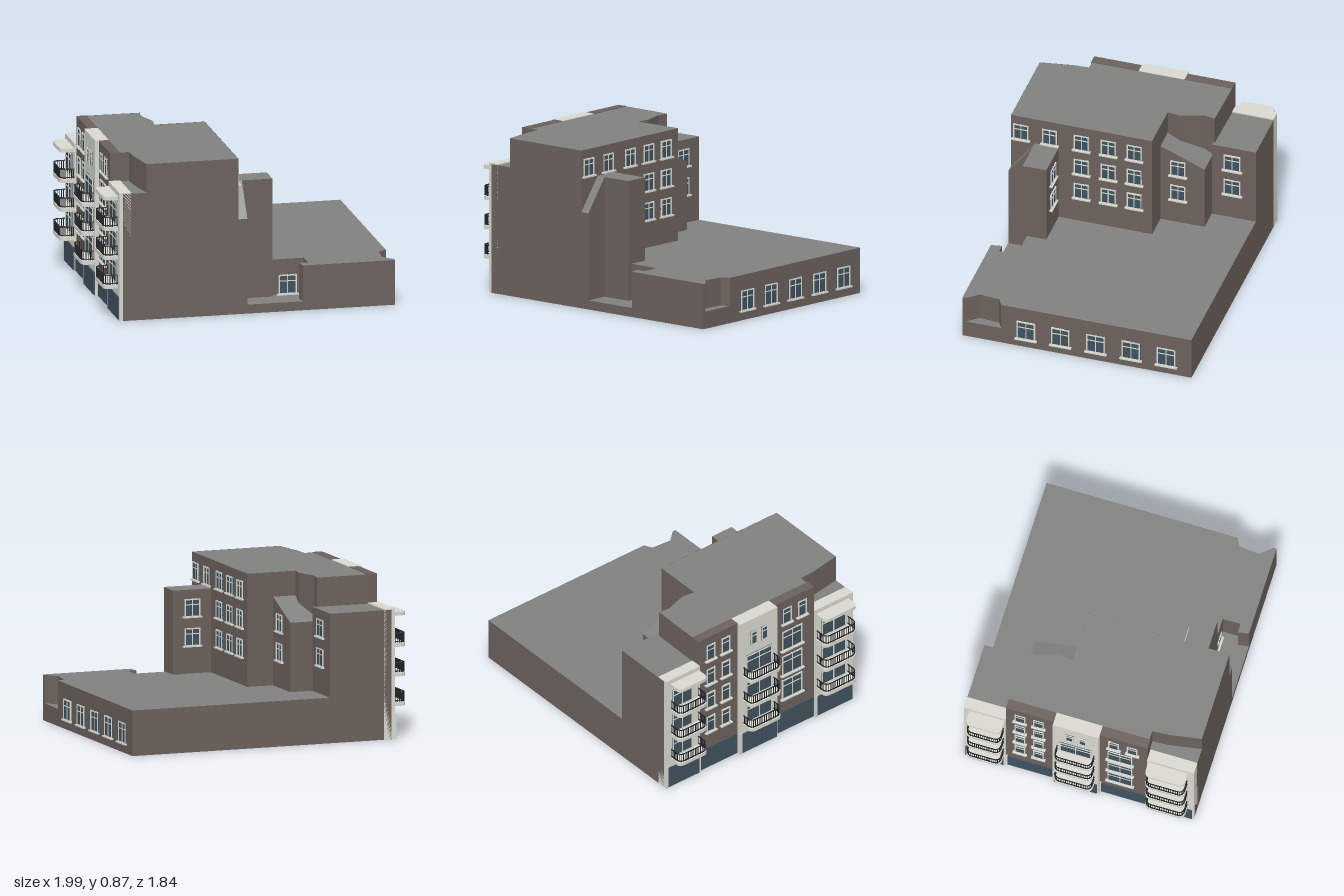
import * as THREE from 'three';

const mat = (name, color, side = THREE.FrontSide) => {
  const m = new THREE.MeshStandardMaterial({ color, side });
  m.name = name;
  return m;
};

export function createModel() {
  const brown = mat('brownRender', 0x6c625d, THREE.DoubleSide);
  const grey = mat('greyRoof', 0x81817f, THREE.DoubleSide);
  const white = mat('whiteTrim', 0xdadad2);
  const glass = mat('darkGlass', 0x40525e);
  const metal = mat('blackMetal', 0x222426);

  // Local plan: x runs back from the street facade, z runs along it.
  const building = new THREE.Group();
  building.name = 'building';
  building.position.set(-0.935, 0, -0.26);
  building.rotation.y = 0.45;

  const add = (parent, name, geo, m, x = 0, y = 0, z = 0) => {
    const mesh = new THREE.Mesh(geo, m);
    mesh.name = name;
    mesh.position.set(x, y, z);
    parent.add(mesh);
    return mesh;
  };
  const box = (parent, name, m, w, h, d, x, y, z) =>
    add(parent, name, new THREE.BoxGeometry(w, h, d), m, x, y, z);

  // Upright walls along a plan line; a point may carry its own top height.
  const walls = (name, y0, y1, pts) => {
    const pos = [];
    for (let i = 0; i + 1 < pts.length; i++) {
      const [ax, az, at = y1] = pts[i], [bx, bz, bt = y1] = pts[i + 1];
      pos.push(ax, y0, az, ax, at, az, bx, bt, bz, ax, y0, az, bx, bt, bz, bx, y0, bz);
    }
    const g = new THREE.BufferGeometry();
    g.setAttribute('position', new THREE.Float32BufferAttribute(pos, 3));
    g.computeVertexNormals();
    add(building, name, g, brown);
  };
  // Roof or floor slab over a plan outline, optionally sloping along z.
  const lid = (name, y, pts, slope = 0, z0 = 0) => {
    const shape = new THREE.Shape(pts.map(([x, z]) => new THREE.Vector2(x, -z)));
    const g = new THREE.ShapeGeometry(shape).rotateX(-Math.PI / 2);
    const p = g.attributes.position;
    for (let i = 0; i < p.count; i++) p.setY(i, y + slope * (p.getZ(i) - z0));
    g.computeVertexNormals();
    add(building, name, g, grey);
  };

  // Low rear wing with its two notches
  const yard = [[0.69, 1.3], [0.69, 1.165], [0.86, 1.165], [0.86, 1.14], [1.04, 1.14],
    [1.04, 1.24], [0.99, 1.24], [1, 1.3]];
  const nook = [[1.51, 1.28], [1.455, 1.22], [1.465, 1.105], [1.51, 1.08]];
  walls('sideBaseWall', 0, 0.25, [[0, 1.3], [0.69, 1.3]]);
  walls('yardWalls', 0.05, 0.25, yard);
  walls('yardKerb', 0, 0.05, [[0.69, 1.3], [1, 1.3]]);
  lid('yardFloor', 0.05, yard);
  walls('wingSideWall', 0, 0.25, [[1, 1.3], [1.51, 1.3], [1.51, 1.28]]);
  walls('nookWalls', 0.095, 0.25, nook);
  walls('nookKerb', 0, 0.095, [nook[0], nook[3]]);
  lid('nookFloor', 0.095, nook);
  walls('wingRearWall', 0, 0.25, [[1.51, 1.08], [1.51, 0], [0, 0]]);
  lid('wingRoof', 0.25, [[0.36, 0], [1.51, 0], ...[...nook].reverse(), [1.51, 1.3],
    ...[...yard].reverse().slice(0, 5), [0.86, 1.03], [0.64, 1.03], [0.64, 0.5],
    [0.49, 0.5], [0.49, 0.25], [0.36, 0.25]]);

  // Corner blocks beside the tower
  walls('northBlockWalls', 0.25, 0.71, [[0, 0], [0.36, 0], [0.36, 0.25]]);
  lid('northBlockRoof', 0.71, [[0.04, 0], [0.36, 0], [0.36, 0.25], [0.04, 0.25]]);
  walls('southBlockWall', 0.25, 0.71, [[0, 1.3], [0.14, 1.3]]);
  lid('southBlockRoof', 0.71, [[0.04, 1.03], [0.14, 1.03], [0.14, 1.3], [0.04, 1.3]]);

  // Block with a sloping roof in the rear corner
  walls('slopedBlockWalls', 0.25, 0.63, [[0.34, 0.25], [0.49, 0.25], [0.49, 0.5, 0.735]]);
  lid('slopedBlockRoof', 0.63, [[0.33, 0.25], [0.49, 0.25], [0.49, 0.5], [0.33, 0.5]], 0.42, 0.25);

  // Tall main tower
  const north = [[0.34, 0.24], [0.33, 0.3], [0.37, 0.43], [0.36, 0.5], [0.49, 0.5]];
  const south = [[0.13, 1.3], [0.1, 1.12], [0.095, 1.03]];
  walls('towerRearWall', 0.25, 0.87, [[0.49, 0.5], [0.64, 0.5], [0.64, 1.3], [0.13, 1.3]]);
  walls('towerNorthWall', 0.6, 0.87, [[0.04, 0.235], ...north]);
  walls('towerSouthWall', 0.68, 0.87, [...south, [0.04, 1.03]]);
  lid('towerRoof', 0.869, [[0.04, 0.235], ...north, [0.64, 0.5], [0.64, 1.3], ...south, [0.04, 1.03]]);

  // Stair tower and the sloping buttress beside it
  const stair = [[0.64, 1.03], [0.86, 1.03], [0.86, 1.165], [0.64, 1.165]];
  walls('stairTowerWalls', 0.25, 0.71, stair);
  lid('stairTowerRoof', 0.71, stair);
  walls('buttressWalls', 0.25, 0.53, [[0.69, 1.165, 0.71], [0.69, 1.3], [0.64, 1.3]]);
  lid('buttressSlope', 0.71, [[0.64, 1.165], [0.69, 1.165], [0.69, 1.3], [0.64, 1.3]], -1.333, 1.165);

  // Window facing local +z, with frame, mullion, transom and sill
  const windowAt = (parent, x, y, z, w, h, turn = 0, sill = true) => {
    const g = new THREE.Group();
    g.name = 'window';
    g.position.set(x, y, z);
    g.rotation.y = turn;
    box(g, 'pane', glass, w, h, 0.004, 0, 0, 0.002);
    const t = 0.007;
    for (const s of [-1, 1]) {
      box(g, 'frameSide', white, t, h, 0.008, s * (w - t) / 2, 0, 0.004);
      box(g, 'frameRail', white, w, t, 0.008, 0, s * (h - t) / 2, 0.004);
    }
    if (w > 0.07) box(g, 'mullion', white, 0.005, h, 0.007, 0, 0, 0.0035);
    box(g, 'transom', white, w, 0.005, 0.007, 0, h * 0.18, 0.0035);
    if (sill) box(g, 'sill', white, w + 0.02, 0.008, 0.016, 0, -h / 2, 0.008);
    parent.add(g);
  };
  const back = Math.PI / 2;
  for (const v of [0.142, 0.342, 0.542, 0.742, 0.938]) windowAt(building, 1.51, 0.108, v, 0.105, 0.115, back);
  for (const v of [0.6, 0.747, 0.9, 1.08, 1.243]) windowAt(building, 0.64, 0.77, v, 0.085, 0.1, back);
  for (const y of [0.61, 0.45]) {
    for (const v of [0.6, 0.747, 0.9]) windowAt(building, 0.64, y, v, 0.085, 0.1, back);
    windowAt(building, 0.49, y - 0.005, 0.4, 0.085, 0.1, back);
    windowAt(building, 0.36, y, 0.134, 0.095, 0.1, back);
    windowAt(building, 0.75, y, 1.03, 0.09, 0.1, Math.PI);
  }
  windowAt(building, 0.95, 0.108, 1.14, 0.1, 0.11);

  // Street facade: here x runs along the street and z points outward
  const facade = new THREE.Group();
  facade.name = 'facade';
  facade.rotation.y = -Math.PI / 2;
  building.add(facade);
  const edges = [0, 0.235, 0.505, 0.765, 1.035, 1.3];
  const fronts = [0.02, 0.01, 0.03, 0.01, 0.02];
  for (let i = 0; i < 5; i++) {
    const w = edges[i + 1] - edges[i], c = (edges[i + 1] + edges[i]) / 2, f = fronts[i];
    const h = i % 4 ? 0.872 : 0.716;
    box(facade, 'facadeBay', i % 2 ? brown : white, w, h, f + 0.045, c, h / 2, (f - 0.045) / 2);
    box(facade, 'shopWindow', glass, w - 0.02, 0.125, 0.008, c, 0.07, f + 0.003);
    box(facade, 'shopPost', white, 0.01, 0.14, 0.01, edges[i] + 0.005, 0.07, f + 0.003);
  }

  // Rounded balcony slab and railing
  const outline = (w, d, r) => {
    const s = new THREE.Shape();
    s.moveTo(-w / 2, 0);
    s.lineTo(-w / 2, d - r);
    s.quadraticCurveTo(-w / 2, d, -w / 2 + r, d);
    s.lineTo(w / 2 - r, d);
    s.quadraticCurveTo(w / 2, d, w / 2, d - r);
    s.lineTo(w / 2, 0);
    return s;
  };
  const slab = (name, w, x, y) => add(facade, name,
    new THREE.ExtrudeGeometry(outline(w, 0.1, 0.035), { depth: 0.02, bevelEnabled: false, curveSegments: 6 })
      .rotateX(Math.PI / 2), white, x, y, 0);
  const barGeo = new THREE.CylinderGeometry(0.0022, 0.0022, 0.052, 5);
  const balcony = (w, x, y) => {
    slab('balconySlab', w, x, y);
    const pts = outline(w - 0.012, 0.096, 0.033).getSpacedPoints(30).map(p => new THREE.Vector3(p.x, 0, p.y));
    const rail = new THREE.TubeGeometry(new THREE.CatmullRomCurve3(pts), 40, 0.0035, 5);
    add(facade, 'topRail', rail, metal, x, y + 0.054, 0);
    add(facade, 'bottomRail', rail, metal, x, y + 0.008, 0);
    for (const p of pts) add(facade, 'railBar', barGeo, metal, x + p.x, y + 0.028, p.z);
  };
  const bays = [[0.13, 0.2, 0.11, 0.14, 0.02], [0.635, 0.22, 0.635, 0.18, 0.03], [1.155, 0.225, 1.16, 0.17, 0.02]];
  for (const [x, w, doorX, doorW, f] of bays)
    for (const y of [0.195, 0.357, 0.519]) {
      balcony(w, x, y);
      windowAt(facade, doorX, y + 0.063, f, doorW, 0.125, 0, false);
    }
  slab('canopy', 0.2, 0.13, 0.69);
  slab('canopy', 0.225, 1.155, 0.69);

  // Facade windows between and above the balconies
  for (const y of [0.77, 0.61, 0.45, 0.29])
    for (const x of [0.315, 0.42]) windowAt(facade, x, y, 0.01, 0.06, 0.105);
  for (const x of [0.845, 0.95]) windowAt(facade, x, 0.77, 0.01, 0.06, 0.105);
  for (const y of [0.605, 0.44, 0.28]) windowAt(facade, 0.88, y, 0.01, 0.14, 0.13);
  for (const x of [0.6, 0.675]) windowAt(facade, x, 0.745, 0.03, 0.045, 0.09, 0, false);

  const model = new THREE.Group();
  model.name = 'apartmentBuilding';
  model.add(building);
  return model;
}
